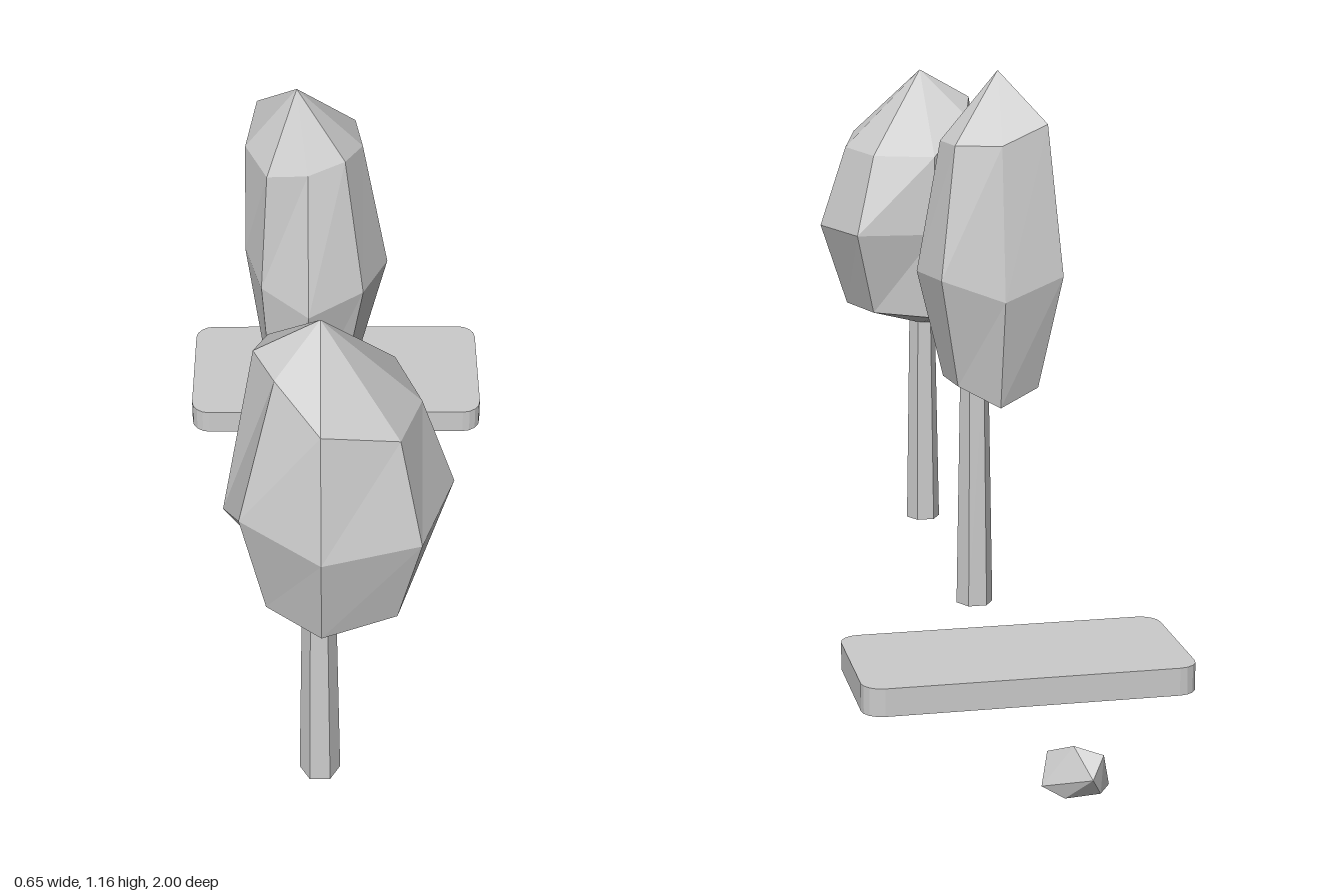
import * as THREE from 'three';
import { ConvexGeometry } from 'three/addons/geometries/ConvexGeometry.js';

const grey = new THREE.MeshStandardMaterial({ color: 0xcccccc, flatShading: true });
const greyThin = new THREE.MeshStandardMaterial({ color: 0xcccccc, flatShading: true, side: THREE.DoubleSide });

function mesh(name, geometry, material = grey) {
  const m = new THREE.Mesh(geometry, material);
  m.name = name;
  return m;
}

// Irregular crown: two poles joined by three eight-sided rings of [radii, heights],
// counted from +x towards +z, listed from the top down.
function crownGeometry(cx, cz, top, rings, bottom) {
  const n = 8, pos = [...top], idx = [];
  for (const [radii, heights] of rings) {
    for (let i = 0; i < n; i++) {
      const a = (i / n) * Math.PI * 2;
      pos.push(cx + radii[i] * Math.cos(a), heights[i], cz + radii[i] * Math.sin(a));
    }
  }
  pos.push(...bottom);
  const last = pos.length / 3 - 1;
  for (let i = 0; i < n; i++) {
    const j = (i + 1) % n;
    idx.push(0, 1 + j, 1 + i);
    for (let r = 0; r < rings.length - 1; r++) {
      const a = 1 + r * n + i, b = 1 + r * n + j;
      idx.push(a, b, b + n, a, b + n, a + n);
    }
    const base = 1 + (rings.length - 1) * n;
    idx.push(base + i, base + j, last);
  }
  const g = new THREE.BufferGeometry();
  g.setAttribute('position', new THREE.Float32BufferAttribute(pos, 3));
  g.setIndex(idx);
  const flat = g.toNonIndexed();
  flat.computeVertexNormals();
  return flat;
}

// Tapered six-sided trunk
function trunk(x, z, height) {
  const g = new THREE.CylinderGeometry(0.03, 0.039, height, 6);
  g.rotateY(Math.PI / 6);
  g.translate(x, 0.03 + height / 2, z);
  return mesh('trunk', g);
}

function tree(name, crown, stem) {
  const g = new THREE.Group();
  g.name = name;
  g.add(mesh('crown', crown), stem);
  return g;
}

// Rounded slab, open underneath
function slab(w, d, h, r) {
  const outline = [];
  for (let q = 0; q < 4; q++) {
    const sx = q === 0 || q === 3 ? 1 : -1, sz = q < 2 ? 1 : -1;
    for (let k = 0; k <= 4; k++) {
      const a = (q + k / 4) * Math.PI / 2;
      outline.push(new THREE.Vector2(sx * (w / 2 - r) + r * Math.cos(a), sz * (d / 2 - r) + r * Math.sin(a)));
    }
  }
  const g = new THREE.Group();
  g.name = 'slab';
  const top = new THREE.ShapeGeometry(new THREE.Shape(outline));
  top.rotateX(-Math.PI / 2);
  top.translate(0, h, 0);
  const pos = [], idx = [], n = outline.length;
  outline.forEach((p, i) => {
    pos.push(p.x, 0, -p.y, p.x, h, -p.y);
    const a = 2 * i, b = 2 * ((i + 1) % n);
    idx.push(a, b, b + 1, a, b + 1, a + 1);
  });
  const walls = new THREE.BufferGeometry();
  walls.setAttribute('position', new THREE.Float32BufferAttribute(pos, 3));
  walls.setIndex(idx);
  walls.computeVertexNormals();
  g.add(mesh('slabTop', top, greyThin), mesh('slabWalls', walls, greyThin));
  return g;
}

export function createModel() {
  const model = new THREE.Group();
  model.name = 'gardenSet';

  // Broad tree at the front
  model.add(tree('broadTree', crownGeometry(-0.03, 0.77, [-0.03, 1.1, 0.77], [
    [[0.175, 0.19, 0.18, 0.11, 0.115, 0.13, 0.18, 0.185], [0.925, 0.945, 0.99, 1.03, 1.035, 1.0, 0.92, 0.92]],
    [[0.235, 0.245, 0.23, 0.2, 0.175, 0.18, 0.19, 0.25], [0.745, 0.745, 0.75, 0.775, 0.68, 0.73, 0.745, 0.745]],
    [[0.175, 0.19, 0.18, 0.14, 0.11, 0.14, 0.175, 0.19], [0.56, 0.545, 0.535, 0.535, 0.59, 0.53, 0.55, 0.56]],
  ], [-0.03, 0.505, 0.77]), trunk(-0.035, 0.78, 0.51)));

  // Slender tree behind it
  model.add(tree('slenderTree', crownGeometry(-0.055, 0.11, [-0.075, 1.16, 0.13], [
    [[0.105, 0.1, 0.09, 0.11, 0.12, 0.14, 0.12, 0.13], [1.02, 1.03, 1.01, 1.0, 1.02, 1.06, 1.02, 1.02]],
    [[0.155, 0.15, 0.15, 0.13, 0.125, 0.18, 0.155, 0.18], [0.75, 0.75, 0.72, 0.75, 0.78, 0.75, 0.705, 0.75]],
    [[0.1, 0.1, 0.09, 0.11, 0.09, 0.12, 0.11, 0.12], [0.525, 0.52, 0.485, 0.51, 0.51, 0.51, 0.475, 0.52]],
  ], [-0.05, 0.52, 0.11]), trunk(-0.02, 0.1, 0.52)));

  // Low slab
  const plate = slab(0.65, 0.32, 0.055, 0.04);
  plate.position.set(0, 0.03, -0.395);
  model.add(plate);

  // Small rough rock at the back
  const rock = [
    [0, 0.055, -1], [0.078, 0.03, -0.945], [0.06, 0.08, -0.91], [0.025, 0.105, -0.96],
    [-0.025, 0.09, -0.975], [-0.045, 0.02, -0.935], [-0.02, 0.055, -0.885], [-0.015, 0.025, -0.865],
    [0.03, 0.03, -0.88], [0, 0, -0.91], [0.04, 0.01, -0.96], [-0.02, 0.02, -0.975],
  ];
  model.add(mesh('rock', new ConvexGeometry(rock.map((p) => new THREE.Vector3(...p)))));
  return model;
}
